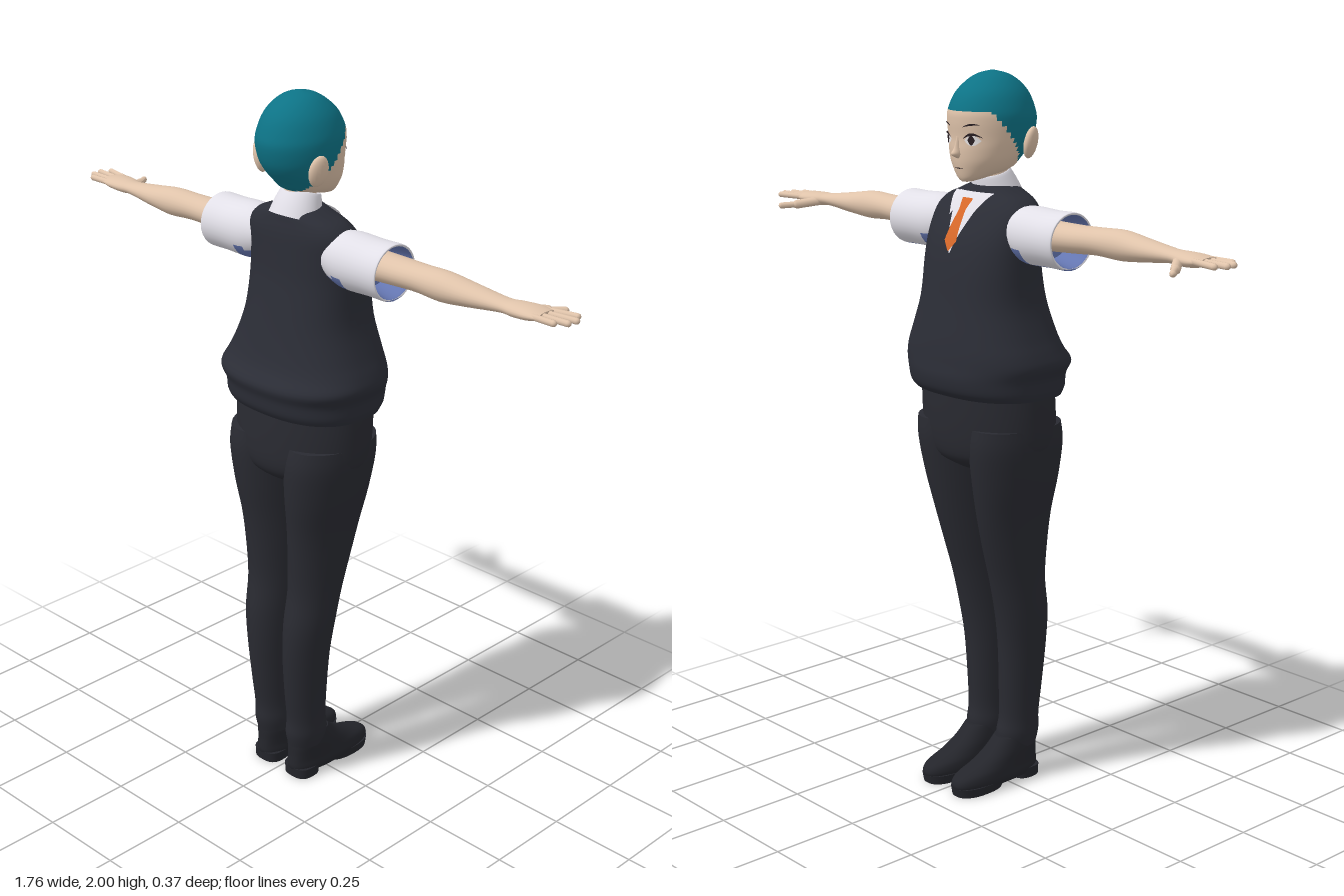
import * as THREE from 'three';

const mat = (name, color, double) => {
  const m = new THREE.MeshStandardMaterial({ color });
  m.name = name;
  if (double) m.side = THREE.DoubleSide;
  return m;
};

// Smooth the few cross-sections [along, cx, rx, zMin, zMax] into many.
function refine(rows, sub) {
  const out = [], at = i => rows[Math.max(0, Math.min(rows.length - 1, i))];
  for (let i = 0; i < rows.length - 1; i++)
    for (let s = 0; s < sub; s++) {
      const t = s / sub, t2 = t * t, t3 = t2 * t;
      out.push(rows[i].map((b, k) => {
        const a = at(i - 1)[k], c = at(i + 1)[k], d = at(i + 2)[k];
        return 0.5 * (2 * b + (c - a) * t + (2 * a - 5 * b + 4 * c - d) * t2 + (3 * b - a - 3 * c + d) * t3);
      }));
    }
  out.push(rows[rows.length - 1]);
  return out;
}

// Skin rounded cross-sections; pick(x, y, z, t) chooses a material per quad.
function loft(rows, { seg = 32, sub = 4, n = 2, pick = () => 0, sideways = false } = {}) {
  const R = refine(rows, sub), pos = [], parts = [[], []];
  const pw = v => Math.sign(v) * Math.abs(v) ** (2 / n);
  const ring = r => {
    for (let j = 0; j < seg; j++) {
      const a = j / seg * Math.PI * 2;
      pos.push(r[1] + r[2] * pw(Math.cos(a)), r[0], (r[3] + r[4]) / 2 + (r[4] - r[3]) / 2 * pw(Math.sin(a)));
    }
  };
  R.forEach(ring);
  for (let i = 0; i < R.length - 1; i++)
    for (let j = 0; j < seg; j++) {
      const k = (j + 1) % seg, a = i * seg + j, b = i * seg + k, c = a + seg, d = b + seg;
      const mid = o => (pos[a * 3 + o] + pos[b * 3 + o] + pos[c * 3 + o] + pos[d * 3 + o]) / 4;
      parts[pick(mid(0), mid(1), mid(2), i / sub)].push(a, c, b, b, c, d);
    }
  // End caps with their own vertices keep the rims crisp
  [R[0], R[R.length - 1]].forEach((r, e) => {
    const s = pos.length / 3, mid = s + seg, g = pick(r[1], r[0], (r[3] + r[4]) / 2, e * (rows.length - 1));
    ring(r);
    pos.push(r[1], r[0], (r[3] + r[4]) / 2);
    for (let j = 0; j < seg; j++) {
      const k = (j + 1) % seg;
      parts[g].push(mid, s + (e ? k : j), s + (e ? j : k));
    }
  });
  const geo = new THREE.BufferGeometry();
  geo.setAttribute('position', new THREE.Float32BufferAttribute(pos, 3));
  geo.setIndex([...parts[0], ...parts[1]]);
  geo.addGroup(0, parts[0].length, 0);
  geo.addGroup(parts[0].length, parts[1].length, 1);
  if (sideways) geo.rotateZ(-Math.PI / 2);
  geo.computeVertexNormals();
  return geo;
}

// Thin patch laid on the face side (-z) of a loft; f(u, v) returns [x, y].
function drape(rows, f, lift, n = 2, sub = 4) {
  const R = refine(rows, sub), geo = new THREE.PlaneGeometry(1, 1, 10, 10), p = geo.attributes.position;
  for (let i = 0; i < p.count; i++) {
    const [x, y] = f(p.getX(i) + 0.5, p.getY(i) + 0.5);
    let k = 0;
    while (k < R.length - 2 && R[k + 1][0] < y) k++;
    const t = (y - R[k][0]) / (R[k + 1][0] - R[k][0]);
    const r = R[k].map((v, q) => v + (R[k + 1][q] - v) * t);
    const q = Math.min(1, Math.abs((x - r[1]) / r[2]));
    p.setXYZ(i, x, y, (r[3] + r[4]) / 2 - (r[4] - r[3]) / 2 * (1 - q ** n) ** (1 / n) - lift);
  }
  geo.computeVertexNormals();
  return geo;
}

function finger(a, b, r) {
  const A = new THREE.Vector3(...a), B = new THREE.Vector3(...b), d = B.clone().sub(A);
  const geo = new THREE.CapsuleGeometry(r, d.length(), 5, 10);
  geo.applyQuaternion(new THREE.Quaternion().setFromUnitVectors(new THREE.Vector3(0, 1, 0), d.normalize()));
  return geo.translate(...A.add(B).multiplyScalar(0.5).toArray());
}

function mirrored(geo) {
  const g = geo.clone().scale(-1, 1, 1), ix = g.index.array;
  for (let i = 0; i < ix.length; i += 3) [ix[i], ix[i + 1]] = [ix[i + 1], ix[i]];
  g.computeVertexNormals();
  return g;
}

export function createModel() {
  const root = new THREE.Group();
  const skin = mat('skin', 0xdfc3aa), hair = mat('hair teal', 0x0d7386), knit = mat('vest charcoal', 0x2b2d36);
  const cloth = mat('trouser charcoal', 0x292a31), leather = mat('shoe black', 0x24252b);
  const shirt = mat('shirt white', 0xe4e2ea, true), shade = mat('shirt blue', 0x6678b4);
  const orange = mat('tie orange', 0xd8692a, true), white = mat('eye white', 0xf2eeee, true), dark = mat('eye dark', 0x2a2024, true);
  const add = (name, geo, m) => {
    const mesh = new THREE.Mesh(geo, m);
    mesh.name = name;
    root.add(mesh);
  };
  const pair = (name, geo, m) => {
    add('left ' + name, geo, m);
    add('right ' + name, mirrored(geo), m);
  };

  // Head with close-cropped hair
  const head = [
    [1.714, 0, 0.014, -0.09, -0.065], [1.725, 0, 0.04, -0.097, -0.015], [1.745, 0, 0.068, -0.103, 0.06],
    [1.77, 0, 0.086, -0.108, 0.088], [1.8, 0, 0.098, -0.11, 0.114], [1.83, 0, 0.106, -0.109, 0.13],
    [1.87, 0, 0.11, -0.113, 0.139], [1.9, 0, 0.107, -0.111, 0.134], [1.94, 0, 0.092, -0.092, 0.117],
    [1.97, 0, 0.069, -0.061, 0.09], [1.99, 0, 0.041, -0.028, 0.057], [2, 0, 0.004, 0.01, 0.018]];
  const hairline = z => z < -0.065 ? 1.9 : z < -0.02 ? 1.9 - (z + 0.065) * 1.3 : Math.max(1.73, 1.84 - (z + 0.02) * 1.2);
  add('head', loft(head, { seg: 56, sub: 5, pick: (x, y, z) => y > hairline(z) ? 1 : 0 }), [skin, hair]);
  add('neck', loft([[1.64, 0, 0.05, -0.035, 0.07], [1.7, 0, 0.045, -0.025, 0.062], [1.78, 0, 0.045, -0.03, 0.06]]), skin);
  add('nose', loft([[1.777, 0, 0.006, -0.112, -0.09], [1.788, 0, 0.011, -0.13, -0.09], [1.805, 0, 0.008, -0.12, -0.09],
    [1.835, 0, 0.004, -0.111, -0.09]], { seg: 12 }), skin);
  pair('ear', new THREE.SphereGeometry(1, 16, 12).scale(0.016, 0.044, 0.027).rotateY(-0.35).rotateZ(-0.25)
    .translate(0.106, 1.815, 0.055), skin);

  // Eyes, lashes, brows and mouth
  const lens = (cx, cy, w, lo, hi, tilt = 0) => (u, v) => {
    const s = Math.sin(u * Math.PI);
    return [cx + w * (2 * u - 1), cy + tilt * (2 * u - 1) + s * (lo + (hi - lo) * v)];
  };
  pair('eye', drape(head, lens(0.046, 1.825, 0.021, -0.014, 0.015), 0.002), white);
  pair('iris', drape(head, lens(0.045, 1.826, 0.009, -0.013, 0.013), 0.004), dark);
  pair('lash', drape(head, lens(0.047, 1.83, 0.025, 0.008, 0.015, 0.002), 0.005), dark);
  pair('brow', drape(head, lens(0.046, 1.862, 0.024, 0.002, 0.007, 0.003), 0.003), dark);
  add('mouth', drape(head, lens(0, 1.752, 0.018, -0.003, 0), 0.002), dark);

  // Knitted vest with a gathered hem
  const vest = [
    [1.145, 0, 0.22, -0.16, 0.158], [1.165, 0, 0.225, -0.178, 0.17], [1.2, 0, 0.227, -0.186, 0.175],
    [1.235, 0, 0.24, -0.183, 0.185], [1.27, 0, 0.23, -0.18, 0.16], [1.315, 0, 0.21, -0.174, 0.143],
    [1.4, 0, 0.181, -0.16, 0.122], [1.5, 0, 0.174, -0.145, 0.102], [1.57, 0, 0.174, -0.125, 0.096],
    [1.63, 0, 0.172, -0.092, 0.092], [1.665, 0, 0.145, -0.068, 0.085], [1.685, 0, 0.1, -0.052, 0.08],
    [1.7, 0, 0.065, -0.04, 0.07]];
  add('vest', loft(vest, { seg: 48, n: 2.4 }), knit);

  // Shirt front, collar and tie
  add('shirt front', drape(vest, (u, v) => [(2 * u - 1) * (0.002 + 0.058 * v), 1.53 + 0.155 * v], 0.003, 2.4), shirt);
  add('collar', loft([[-0.035, 0, 0.078, -0.065, 0.07], [0, 0, 0.068, -0.055, 0.062], [0.035, 0, 0.056, -0.046, 0.05],
    [0.03, 0, 0.05, -0.04, 0.045], [0, 0, 0.048, -0.04, 0.045]]).rotateX(-0.3).translate(0, 1.7, 0.018), shirt);
  pair('collar point', drape(vest, (u, v) => [0.012 + 0.062 * v * u + 0.028 * (1 - v), 1.625 + 0.06 * v], 0.009, 2.4), shirt);
  const tieWidth = v => v > 0.8 ? 0.013 + (v - 0.8) * 0.04 : v > 0.2 ? 0.023 - (v - 0.2) * 0.018 : 0.001 + v * 0.11;
  add('tie', drape(vest, (u, v) => [(2 * u - 1) * tieWidth(v), 1.535 + 0.135 * v], 0.008, 2.4), orange);

  // Rolled sleeves, open at the cuff
  pair('sleeve', loft([
    [0.13, -1.587, 0.066, -0.068, 0.07], [0.18, -1.583, 0.077, -0.078, 0.078], [0.26, -1.582, 0.075, -0.08, 0.077],
    [0.315, -1.582, 0.076, -0.08, 0.077], [0.321, -1.582, 0.072, -0.076, 0.073], [0.312, -1.582, 0.067, -0.07, 0.068],
    [0.25, -1.585, 0.055, -0.06, 0.055]], {
    sideways: true,
    pick: (x, y, z, t) => t >= 4.5 || (-x < 1.55 && y < 0.205) || -x < 1.512 ? 1 : 0
  }), [shirt, shade]);

  // Arms and hands
  pair('arm', loft([
    [0.24, -1.59, 0.041, -0.05, 0.045], [0.35, -1.592, 0.037, -0.048, 0.046], [0.42, -1.594, 0.036, -0.04, 0.047],
    [0.5, -1.593, 0.039, -0.037, 0.05], [0.58, -1.591, 0.03, -0.037, 0.043], [0.68, -1.59, 0.018, -0.032, 0.028],
    [0.72, -1.589, 0.019, -0.044, 0.03], [0.765, -1.59, 0.017, -0.053, 0.031], [0.8, -1.592, 0.01, -0.047, 0.026]],
    { seg: 24, sideways: true }), skin);
  [[0.857, -0.058, -0.042], [0.874, -0.032, -0.022], [0.87, -0.004, -0.001], [0.845, 0.019, 0.018]].forEach(([x, z, z0], i) =>
    pair('finger ' + (i + 1), finger([0.775, 1.592, z0], [x, 1.592, z], 0.0085), skin));
  pair('thumb base', finger([0.715, 1.584, -0.03], [0.752, 1.575, -0.078], 0.013), skin);
  pair('thumb', finger([0.75, 1.575, -0.076], [0.778, 1.572, -0.115], 0.009), skin);

  // Trousers
  add('trouser seat', loft([
    [0.93, 0, 0.11, -0.08, 0.09], [0.96, 0, 0.17, -0.128, 0.135], [1.0, 0, 0.206, -0.145, 0.154],
    [1.08, 0, 0.214, -0.153, 0.154], [1.17, 0, 0.213, -0.155, 0.147]], { seg: 40 }), cloth);
  pair('trouser leg', loft([
    [0.1, 0.062, 0.046, -0.005, 0.114], [0.14, 0.063, 0.052, -0.012, 0.122], [0.19, 0.065, 0.05, -0.004, 0.12],
    [0.28, 0.067, 0.053, -0.006, 0.13], [0.4, 0.071, 0.059, -0.012, 0.139], [0.5, 0.076, 0.065, -0.026, 0.138],
    [0.6, 0.079, 0.068, -0.048, 0.123], [0.7, 0.083, 0.074, -0.077, 0.125], [0.8, 0.089, 0.081, -0.104, 0.133],
    [0.9, 0.098, 0.093, -0.126, 0.147], [1.0, 0.105, 0.101, -0.142, 0.154], [1.06, 0.106, 0.1, -0.14, 0.145]]), cloth);

  // Shoes with separate heel and sole
  pair('shoe', loft([
    [0.016, 0.062, 0.048, -0.178, 0.112], [0.032, 0.062, 0.053, -0.185, 0.118], [0.052, 0.062, 0.051, -0.172, 0.117],
    [0.072, 0.062, 0.049, -0.115, 0.115], [0.1, 0.062, 0.047, -0.06, 0.114], [0.135, 0.062, 0.042, -0.02, 0.11]],
    { n: 2.4 }), leather);
  pair('heel', loft([[0, 0.062, 0.045, 0.03, 0.114], [0.03, 0.062, 0.046, 0.025, 0.116]], { n: 2.8, sub: 1 }), leather);
  pair('sole', loft([[0, 0.062, 0.047, -0.178, -0.02], [0.025, 0.062, 0.05, -0.183, 0]], { n: 2.4, sub: 1 }), leather);

  return root;
}
